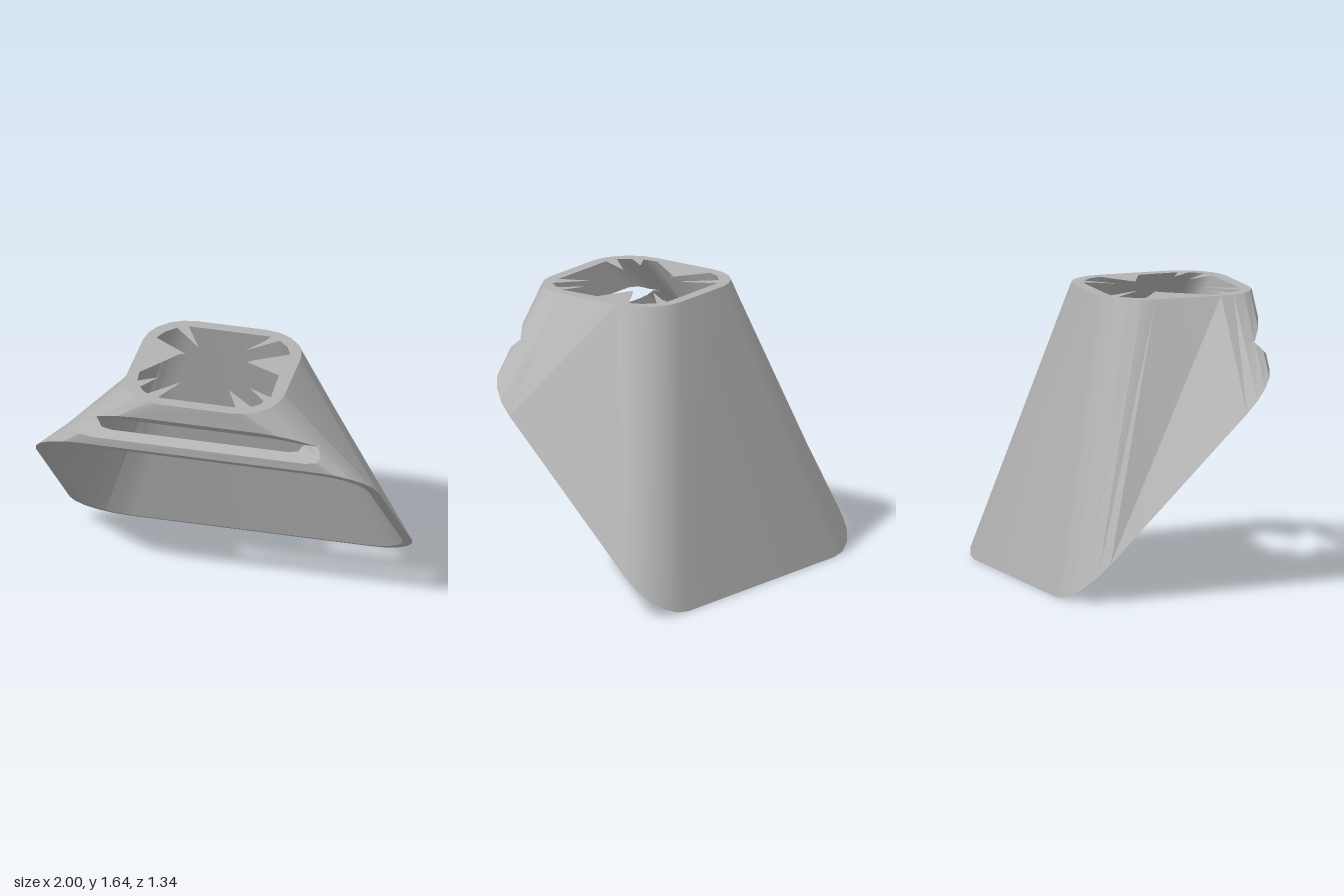
import * as THREE from 'three';
import { toCreasedNormals } from 'three/addons/utils/BufferGeometryUtils.js';

const SEG = 5;      // facets per rounded corner
const TOP = 1.64;   // height of the collar

// Rounded rectangle as a loop of points; place(u, v) puts each one in space
function ring(halfU, vMin, vMax, ru, rv, place) {
  const points = [];
  for (let k = 0; k < 4; k++) {
    const cu = (k === 0 || k === 3 ? 1 : -1) * (halfU - ru);
    const cv = k < 2 ? vMax - rv : vMin + rv;
    for (let j = 0; j <= SEG; j++) {
      const a = (k + j / SEG) * Math.PI / 2;
      points.push(place(cu + ru * Math.cos(a), cv + rv * Math.sin(a)));
    }
  }
  return points;
}

const onSlope = (u, v) => new THREE.Vector3(u, v, v - 0.67);  // 45 degree mouth
const onTop = (u, v) => new THREE.Vector3(u, TOP, v);         // level collar

// Where a wall line enters and leaves the V-shaped slot cut across the front
function slotCut(p, q) {
  const rise = v => v.z + v.y - 1.93;
  const fall = v => v.z - v.y + 0.87;
  const root = f => f(p) / (f(p) - f(q));
  let enter = root(rise), leave = root(fall);
  const open = enter < leave - 0.01;
  if (!open) enter = leave = (enter + leave) / 2;
  return { open, low: p.clone().lerp(q, enter), high: p.clone().lerp(q, leave) };
}

// Strip of quads between two loops for the chosen indices
function strip(lo, hi, indices, inward = false) {
  const pos = [];
  const tri = (a, b, c) => {
    for (const v of inward ? [a, c, b] : [a, b, c]) pos.push(v.x, v.y, v.z);
  };
  for (const i of indices) {
    const n = (i + 1) % lo.length;
    tri(lo[i], hi[i], lo[n]);
    tri(hi[i], hi[n], lo[n]);
  }
  return pos;
}

export function createModel() {
  const group = new THREE.Group();
  const grey = new THREE.MeshStandardMaterial({ color: 0xb3b3b3, side: THREE.DoubleSide });
  grey.name = 'grey plastic';

  const add = (name, ...strips) => {
    const geo = new THREE.BufferGeometry();
    geo.setAttribute('position', new THREE.Float32BufferAttribute(strips.flat(), 3));
    const mesh = new THREE.Mesh(toCreasedNormals(geo, 0.5), grey);
    mesh.name = name;
    group.add(mesh);
  };

  // Loops of the outer and inner skins
  const outerLow = ring(1, 0, 1.265, 0.3, 0.22, onSlope);
  const outerTop = ring(0.46, -0.245, 0.67, 0.26, 0.26, onTop);
  const innerLow = ring(0.94, 0.015, 1.22, 0.26, 0.19, onSlope);
  const innerTop = ring(0.4, -0.18, 0.6, 0.2, 0.2, onTop);

  // Sort the wall panels into whole ones and ones crossed by the slot
  const outerCut = outerLow.map((p, i) => slotCut(p, outerTop[i]));
  const innerCut = innerLow.map((p, i) => slotCut(p, innerTop[i]));
  const all = outerLow.map((_, i) => i);
  const half = 2 * SEG + 1;
  const isCut = i => i < half && (outerCut[i].open || outerCut[i + 1].open);
  const cut = all.filter(isCut);
  const whole = all.filter(i => !isCut(i));
  const lows = c => c.map(e => e.low);
  const highs = c => c.map(e => e.high);

  // Tapered walls, split above and below the slot
  add('outerWall',
    strip(outerLow, outerTop, whole),
    strip(outerLow, lows(outerCut), cut),
    strip(highs(outerCut), outerTop, cut));
  add('innerWall',
    strip(innerLow, innerTop, whole, true),
    strip(innerLow, lows(innerCut), cut, true),
    strip(highs(innerCut), innerTop, cut, true));

  // Edges joining the two skins
  add('mouthRim', strip(innerLow, outerLow, all));
  add('slotLowerLip', strip(lows(outerCut), lows(innerCut), cut));
  add('slotUpperLip', strip(highs(innerCut), highs(outerCut), cut));

  // Flat collar with jagged teeth pointing into the opening (x, z)
  const teeth = [
    [-0.24, -0.18], [0.24, -0.18], [0.22, -0.13], [0.13, 0], [0.3, -0.15],
    [0.36, -0.09], [0.39, -0.02], [0.2, 0.09], [0.17, 0.115], [0.38, 0.21],
    [0.39, 0.45], [0.25, 0.38], [0.36, 0.5], [0.35, 0.53], [0.31, 0.58],
    [0.14, 0.43], [0.22, 0.6], [-0.235, 0.6], [-0.145, 0.41], [-0.31, 0.58],
    [-0.36, 0.51], [-0.28, 0.39], [-0.39, 0.45], [-0.4, 0.36], [-0.22, 0.12],
    [-0.19, 0.11], [-0.39, -0.02], [-0.36, -0.09], [-0.3, -0.15], [-0.13, 0.03],
  ];
  const shape = new THREE.Shape(outerTop.map(p => new THREE.Vector2(p.x, -p.z)));
  shape.holes.push(new THREE.Path(teeth.map(([x, z]) => new THREE.Vector2(x, -z))));
  const collar = new THREE.Mesh(new THREE.ShapeGeometry(shape), grey);
  collar.name = 'toothedCollar';
  collar.rotation.x = -Math.PI / 2;
  collar.position.y = TOP;
  group.add(collar);

  return group;
}
